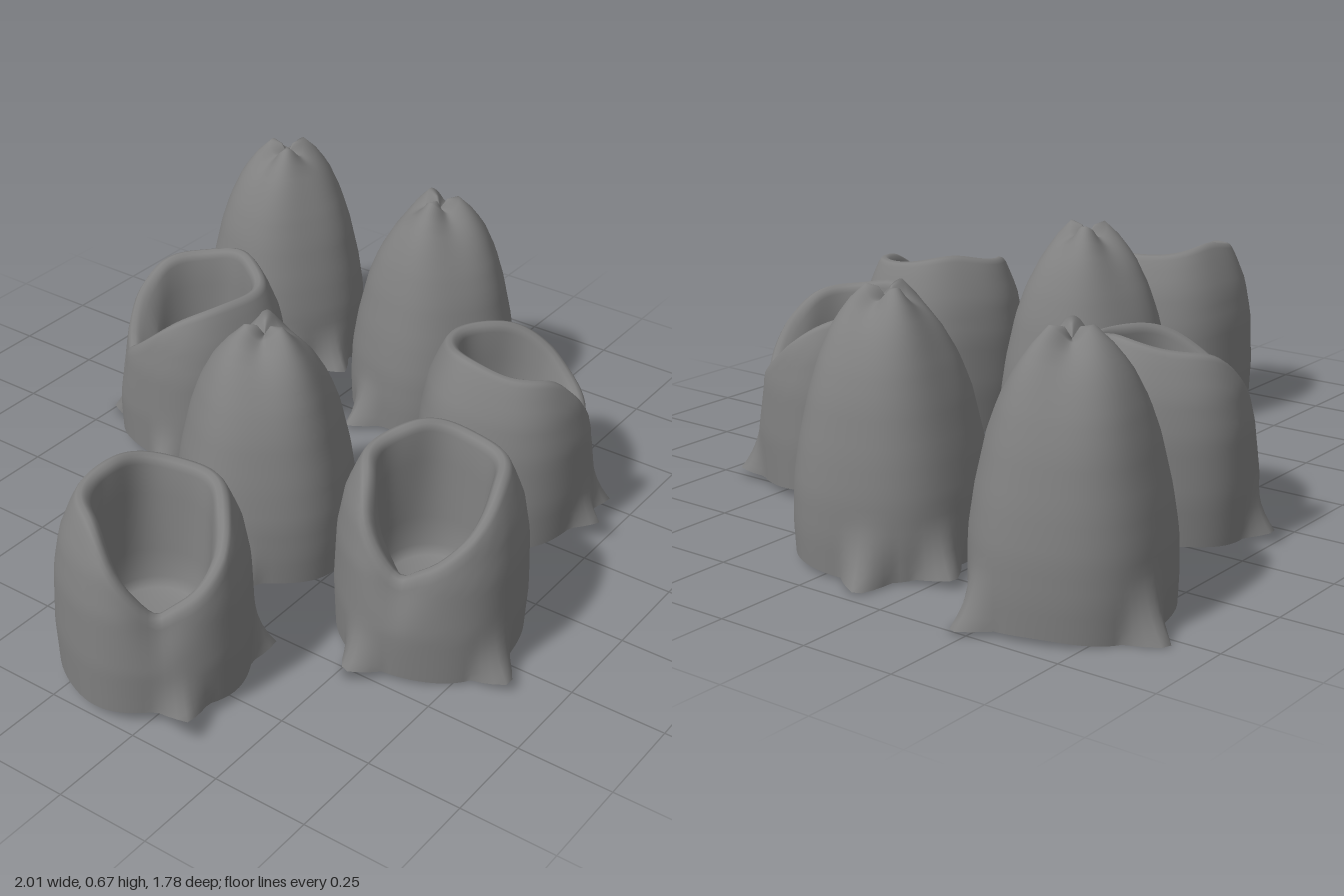
import * as THREE from 'three';

const SEG = 80, TAU = Math.PI * 2;
const skin = new THREE.MeshStandardMaterial({ color: 0x808080 });
skin.name = 'grey skin';

// signed shortest angle from b to a
const turn = (a, b) => Math.atan2(Math.sin(a - b), Math.cos(a - b));
const bell = (d, w) => Math.exp(-((d / w) ** 2));

// piecewise linear lookup in [height, radius] pairs
function lookup(table, y) {
  for (let i = 1; i < table.length; i++) {
    const [y0, r0] = table[i - 1], [y1, r1] = table[i];
    if (y <= y1) return r0 + (r1 - r0) * Math.max(0, (y - y0) / (y1 - y0));
  }
  return table[table.length - 1][1];
}

// skin a stack of closed rings; each row maps an angle to [radius, y]
function loft(rows, name) {
  const pos = [], idx = [];
  for (const row of rows) {
    for (let j = 0; j < SEG; j++) {
      const a = (j / SEG) * TAU, [r, y] = row(a);
      pos.push(Math.cos(a) * r, y, Math.sin(a) * r);
    }
  }
  for (let i = 0; i < rows.length - 1; i++) {
    for (let j = 0; j < SEG; j++) {
      const a = i * SEG + j, b = i * SEG + (j + 1) % SEG;
      idx.push(a, a + SEG, b, b, a + SEG, b + SEG);
    }
  }
  const geo = new THREE.BufferGeometry();
  geo.setAttribute('position', new THREE.Float32BufferAttribute(pos, 3));
  geo.setIndex(idx);
  geo.computeVertexNormals();
  const mesh = new THREE.Mesh(geo, skin);
  mesh.name = name;
  return mesh;
}

const CLOSED = [[0, 0.235], [0.1, 0.24], [0.2, 0.237], [0.3, 0.222], [0.42, 0.195],
  [0.5, 0.168], [0.58, 0.127], [0.63, 0.083], [0.67, 0.03]];
const OPEN = [[0, 0.235], [0.15, 0.242], [0.3, 0.236], [0.4, 0.218], [0.47, 0.19], [0.54, 0.155]];

// outer wall radius with pulled-out corners at the foot
function wall(pod, table, a, y) {
  const pull = Math.max(0, 1 - y / 0.17) ** 2;
  let r = lookup(table, y) + 0.004 * Math.sin(5 * a + pod.x * 9);
  for (const c of pod.corners) r += 0.085 * pull * Math.max(0, 1 - Math.abs(turn(a, c)) / 0.27);
  return r;
}
const foot = (pod, a) => pod.base + 0.008 * Math.sin(3 * a + pod.z * 7);

function underside(pod, table) {
  const rows = [0, 0.5, 0.8, 1].map(t => a =>
    [t * wall(pod, table, a, 0), foot(pod, a) * t + (pod.base + 0.01) * (1 - t)]);
  return loft(rows, 'underside');
}

// closed pod: dome pinched into three small petals at the tip
function closedPod(pod) {
  const rows = [];
  for (let i = 0; i <= 22; i++) {
    const t = i / 22;
    rows.push(a => {
      const y = foot(pod, a) * (1 - t) + 0.655 * t;
      const lobe = Math.cos(3 * (a - pod.dir));
      const pinch = Math.max(0, (y - 0.4) / 0.27) ** 2;
      return [wall(pod, CLOSED, a, y) * (1 + 0.13 * pinch * lobe), y + 0.018 * t ** 12 * lobe];
    });
  }
  rows.push(a => [0.02, 0.65 + 0.015 * Math.cos(3 * (a - pod.dir))], () => [0, 0.635]);
  return loft(rows, 'closed pod skin');
}

// open pod: slanted lip with a notch, rolled into an inner cup
function openPod(pod) {
  const rim = a => {
    const d = turn(a, pod.dir);
    return 0.5 - 0.19 * bell(d, d < 0 ? 0.95 : 0.6) - 0.02 * bell(d, 0.16)
      + 0.028 * bell(turn(d, 2.5), 0.7);
  };
  const dent = (a, y) => 0.025 * bell(turn(a, pod.dir), 0.3) * bell(y - rim(a), 0.1);
  const outer = (a, y) => wall(pod, OPEN, a, y) - dent(a, y);
  const rows = [];
  for (let i = 0; i <= 16; i++) {
    const t = i / 16;
    rows.push(a => {
      const y = foot(pod, a) * (1 - t) + (rim(a) - 0.015) * t;
      return [outer(a, y), y];
    });
  }
  // rolled lip
  for (const [inset, rise] of [[0.008, -0.004], [0.02, 0], [0.032, -0.006], [0.042, -0.022]]) {
    rows.push(a => [outer(a, rim(a) - 0.015) - inset, rim(a) + rise]);
  }
  // cup wall and floor
  for (const t of [0.25, 0.5, 0.75, 1]) {
    rows.push(a => {
      const fold = 0.025 * bell(turn(a, pod.dir + 0.35), 0.3) * (1 - t);
      const top = outer(a, rim(a) - 0.015) - 0.042;
      return [top + (0.125 - top) * t - fold, (rim(a) - 0.022) * (1 - t) + 0.17 * t];
    });
  }
  rows.push(() => [0.105, 0.15], () => [0.06, 0.14], () => [0, 0.138]);
  return loft(rows, 'open pod skin');
}

// corner tips are given as [x, z] on the ground
const PODS = [
  { x: 0.73, z: -0.59, base: 0.012, dir: 0.4, tips: [[0.78, -0.86], [0.99, -0.47], [0.46, -0.4], [0.64, -0.32]] },
  { x: 0.69, z: -0.02, base: 0.015, dir: 1.0, tips: [[0.8, -0.32], [0.93, -0.13], [0.6, 0.25], [0.43, -0.13]] },
  { x: -0.18, z: 0.02, base: 0.02, dir: 1.6, tips: [[-0.43, 0.1], [0.08, 0.2], [-0.03, 0.27], [0.04, -0.2]] },
  { x: 0.16, z: -0.46, base: 0.03, dir: -2.3, open: true, tips: [[0.07, -0.76], [-0.14, -0.4], [0.24, -0.19]] },
  { x: -0.75, z: 0.12, base: 0.03, dir: 2.4, open: true, tips: [[-0.93, 0.37], [-0.52, 0.35], [-0.6, -0.12]] },
  { x: -0.24, z: 0.58, base: 0.018, dir: 2.95, open: true, tips: [[-0.55, 0.52], [-0.32, 0.86], [0.03, 0.62]] },
  { x: 0.33, z: 0.44, base: 0.03, dir: 0.95, open: true, tips: [[0.58, 0.28], [0.51, 0.69], [0.37, 0.7], [0.1, 0.25]] },
];

export function createModel() {
  const model = new THREE.Group();
  model.name = 'podCluster';
  PODS.forEach((spec, i) => {
    const pod = { ...spec, corners: spec.tips.map(([x, z]) => Math.atan2(z - spec.z, x - spec.x)) };
    const group = new THREE.Group();
    group.name = (pod.open ? 'openPod' : 'closedPod') + (i + 1);
    group.add(pod.open ? openPod(pod) : closedPod(pod), underside(pod, pod.open ? OPEN : CLOSED));
    group.position.set(pod.x, 0, pod.z);
    model.add(group);
  });
  return model;
}
